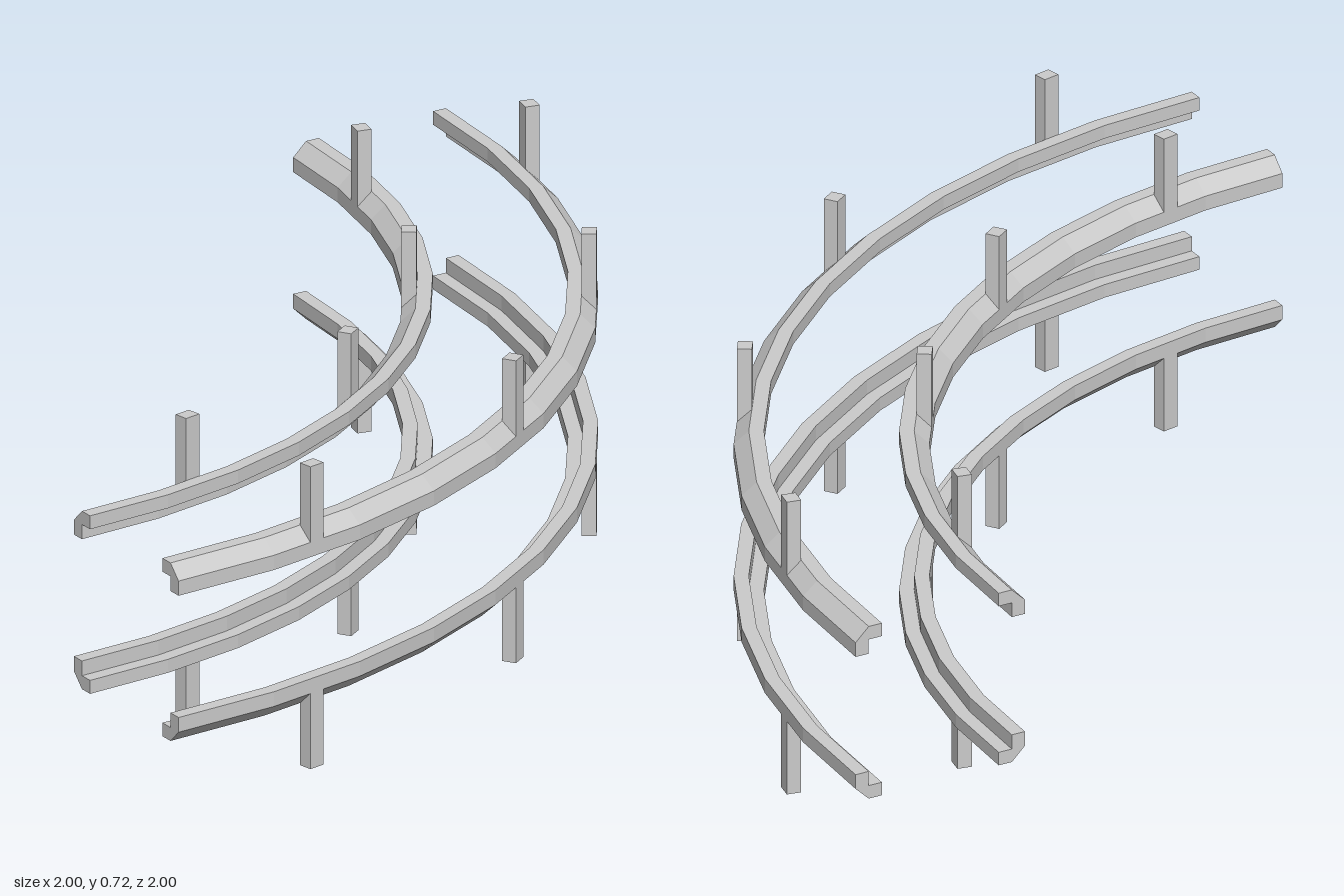
import * as THREE from 'three';

const SEGMENTS = 12;       // facets along the quarter turn
const MID_RADIUS = 1.7835; // centre of the track
const MID_HEIGHT = 0.36;

export function createModel() {
  const model = new THREE.Group();
  const steel = new THREE.MeshStandardMaterial({ color: 0xcccccc, flatShading: true });
  const capSteel = steel.clone();
  capSteel.side = THREE.DoubleSide;

  // Angle-iron section with a chamfered outer corner, as [radial, vertical] offsets from the track centre
  const section = [
    [0.1495, 0.18], [0.183, 0.18], [0.183, 0.145], [0.2165, 0.145],
    [0.2165, 0.18], [0.183, 0.212], [0.1495, 0.212],
  ];

  const add = (parent, name, geometry, material = steel) => {
    const mesh = new THREE.Mesh(geometry, material);
    mesh.name = name;
    parent.add(mesh);
    return mesh;
  };

  for (const [side, sr] of [['outer', 1], ['inner', -1]]) {
    for (const [level, sy] of [['Upper', 1], ['Lower', -1]]) {
      const group = new THREE.Group();
      group.name = `${side}${level}Guide`;
      model.add(group);

      // Curved rail
      const points = section.map(([r, y]) => new THREE.Vector2(MID_RADIUS + sr * r, MID_HEIGHT + sy * y));
      if (sr * sy < 0) points.reverse();
      add(group, 'rail', new THREE.LatheGeometry([...points, points[0]], SEGMENTS, 0, Math.PI / 2));

      // Rail ends
      const cap = new THREE.ShapeGeometry(new THREE.Shape(points));
      add(group, 'railEnd', cap, capSteel);
      add(group, 'railEnd', cap.clone().rotateY(-Math.PI / 2), capSteel);

      // Square posts standing on the chamfered corner, at the middle of every third facet
      const postRadius = (MID_RADIUS + sr * 0.19975) * Math.cos(Math.PI / 4 / SEGMENTS);
      for (let i = 0; i < 4; i++) {
        const angle = (1.5 + 3 * i) * Math.PI / 2 / SEGMENTS;
        const post = add(group, 'post', new THREE.BoxGeometry(0.04, 0.18, 0.0335));
        post.position.set(postRadius * Math.sin(angle), MID_HEIGHT + sy * 0.27, postRadius * Math.cos(angle));
        post.rotation.y = angle;
      }
    }
  }

  // Centre the quarter turn on the origin
  for (const guide of model.children) guide.position.set(-1, 0, -1);
  return model;
}
